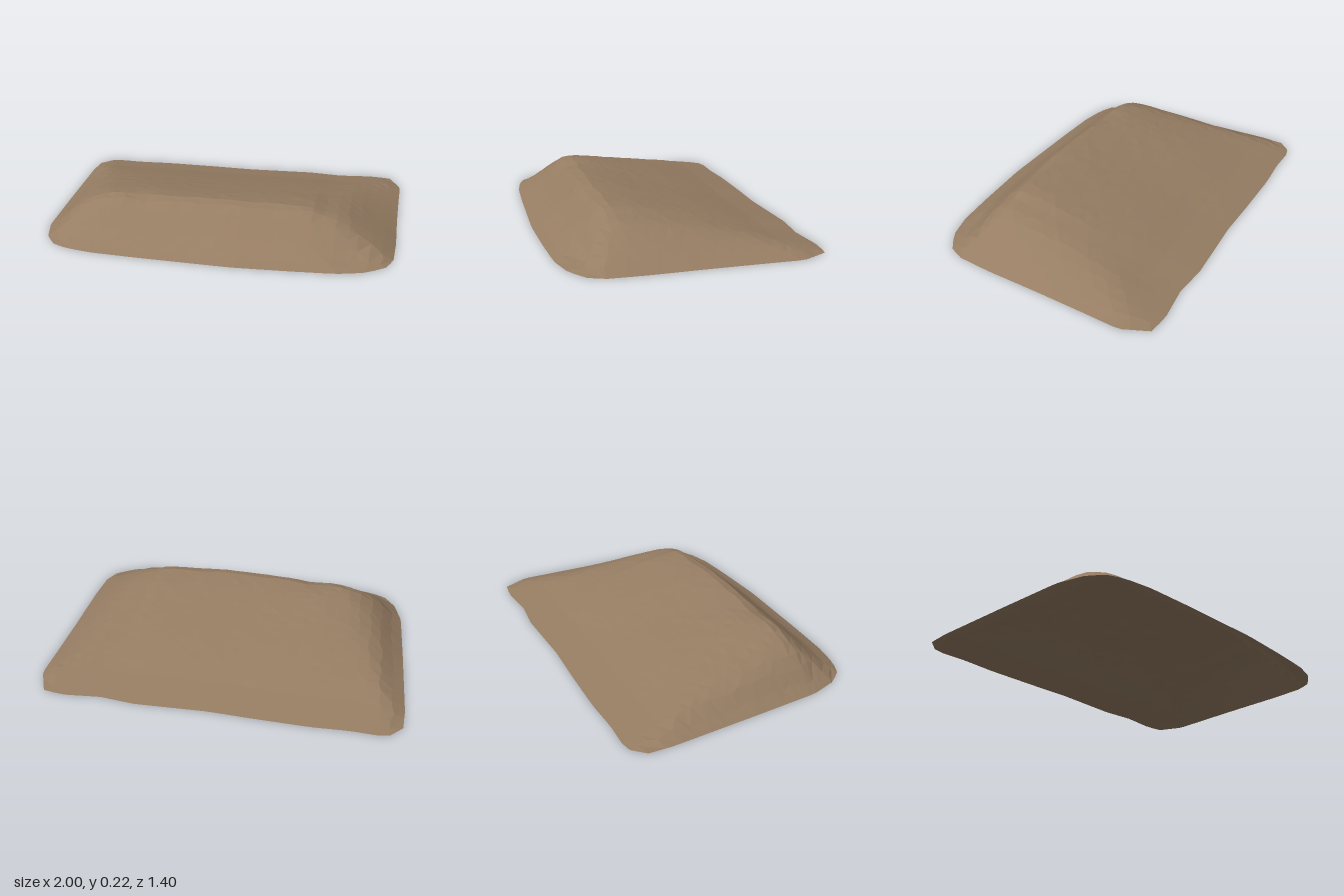
import * as THREE from 'three';

// Outline of the footprint as four polylines of [x, z]
const BACK = [[-0.99, -0.63], [-0.95, -0.69], [-0.86, -0.705], [-0.72, -0.695], [-0.52, -0.7], [-0.2, -0.685],
  [0.03, -0.67], [0.43, -0.675], [0.62, -0.65], [0.83, -0.665], [0.94, -0.645]];
const FRONT = [[-0.88, 0.58], [-0.8, 0.62], [-0.65, 0.65], [-0.4, 0.67], [0.1, 0.7], [0.4, 0.695],
  [0.64, 0.685], [0.79, 0.65], [0.89, 0.58]];
const RIGHT_SIDE = [[0.94, -0.645], [1, -0.5], [0.985, -0.3], [0.965, 0], [0.95, 0.3], [0.93, 0.5], [0.89, 0.58]];
const LEFT_SIDE = [[-0.99, -0.63], [-1, -0.5], [-0.99, 0], [-0.98, 0.35], [-0.94, 0.5], [-0.88, 0.58]];

// Slope profiles: [distance from the edge, height]; the sides run on upwards and are blended into the top
const RISE_FRONT = [[0, 0], [0.07, 0.03], [0.11, 0.055], [0.16, 0.096], [0.24, 0.172], [0.29, 0.213], [0.33, 0.223]];
const RISE_BACK = [[0, 0], [0.2, 0.04], [0.35, 0.081], [0.5, 0.119], [0.7, 0.164], [0.9, 0.206], [1.02, 0.223]];
const RISE_MINUS_X = [[0, 0], [0.03, 0.012], [0.16, 0.134], [0.22, 0.18], [0.28, 0.23], [0.43, 0.36], [0.8, 0.7]];
const RISE_PLUS_X = [[0, 0], [0.08, 0.05], [0.17, 0.102], [0.29, 0.178], [0.39, 0.225], [0.47, 0.35], [0.8, 0.7]];

// Hollows: [x, z, half width, half depth, drop]
const HOLLOWS = [[0.7, 0.56, 0.13, 0.06, 0.022], [-0.42, 0.37, 0.08, 0.08, 0.014]];

// Piecewise linear lookup of column b from column a
function lookup(table, v, a = 0, b = 1) {
  if (v <= table[0][a]) return table[0][b];
  for (let i = 1; i < table.length; i++) {
    const p = table[i - 1], q = table[i];
    if (v <= q[a]) return p[b] + (q[b] - p[b]) * (v - p[a]) / (q[a] - p[a]);
  }
  return table[table.length - 1][b];
}

// Point on a side polyline at fraction f between its end points
function along(curve, f, axis) {
  const v = THREE.MathUtils.lerp(curve[0][axis], curve[curve.length - 1][axis], f);
  const w = lookup(curve, v, axis, 1 - axis);
  return axis === 0 ? [v, w] : [w, v];
}

// Patch stretched between the four sides
function patch(s, t) {
  const b = along(BACK, s, 0), f = along(FRONT, s, 0);
  const l = along(LEFT_SIDE, t, 1), r = along(RIGHT_SIDE, t, 1);
  return [0, 1].map(k =>
    (1 - t) * b[k] + t * f[k] + (1 - s) * l[k] + s * r[k]
    - (1 - s) * (1 - t) * BACK[0][k] - s * (1 - t) * BACK[BACK.length - 1][k]
    - (1 - s) * t * FRONT[0][k] - s * t * FRONT[FRONT.length - 1][k]);
}

// Soft minimum of the ridge and the two side slopes, which flatten towards the back
function heightAt(x, z) {
  const ridge = Math.min(
    lookup(RISE_FRONT, lookup(FRONT, x) - z),
    lookup(RISE_BACK, z - lookup(BACK, x)));
  const toBack = 1 - THREE.MathUtils.smoothstep(z, -0.5, 0.3);
  const slopes = [
    ridge,
    lookup(RISE_MINUS_X, x - lookup(LEFT_SIDE, z, 1, 0)) * (1 - 0.3 * toBack),
    lookup(RISE_PLUS_X, lookup(RIGHT_SIDE, z, 1, 0) - x) * (1 - 0.4 * toBack)];
  const sum = slopes.reduce((total, h) => total + Math.max(h, 0.001) ** -4, 0);
  const drop = HOLLOWS.reduce((total, [hx, hz, w, d, depth]) =>
    total + depth * Math.exp(-(((x - hx) / w) ** 2) - ((z - hz) / d) ** 2), 0);
  return Math.max(0.001, sum ** -0.25 - drop);
}

function moundGeometry(cols, rows) {
  let seed = 4217;
  const noise = () => {
    seed = (seed * 16807) % 2147483647;
    return seed / 2147483647 - 0.5;
  };
  const positions = [], index = [];
  for (let j = 0; j <= rows; j++) {
    for (let i = 0; i <= cols; i++) {
      const rim = i === 0 || j === 0 || i === cols || j === rows;
      // Irregular facets: interior points are shifted a little
      const s = (i + (rim ? 0 : noise() * 0.35)) / cols;
      const t = (j + (rim ? 0 : noise() * 0.35)) / rows;
      const [x, z] = patch(s, t);
      const bumps = Math.sin(x * 11 + z * 3) * 0.01 + noise() * 0.015;
      positions.push(x, rim ? 0 : heightAt(x, z) * (1 + bumps), z);
    }
  }
  const n = cols + 1;
  for (let j = 0; j < rows; j++) {
    for (let i = 0; i < cols; i++) {
      const a = j * n + i, b = a + n, c = a + 1, d = b + 1;
      if ((i + j) % 2) index.push(a, b, c, c, b, d);
      else index.push(a, b, d, a, d, c);
    }
  }
  const geometry = new THREE.BufferGeometry();
  geometry.setAttribute('position', new THREE.Float32BufferAttribute(positions, 3));
  geometry.setIndex(index);
  geometry.computeVertexNormals();
  return geometry;
}

export function createModel() {
  const group = new THREE.Group();
  group.name = 'earthMound';
  const earth = new THREE.MeshStandardMaterial({ color: 0x967d63, flatShading: true, side: THREE.DoubleSide });
  earth.name = 'earth brown';

  // Open-bottomed shell of the mound
  const mound = new THREE.Mesh(moundGeometry(30, 28), earth);
  mound.name = 'mound';
  group.add(mound);
  return group;
}
